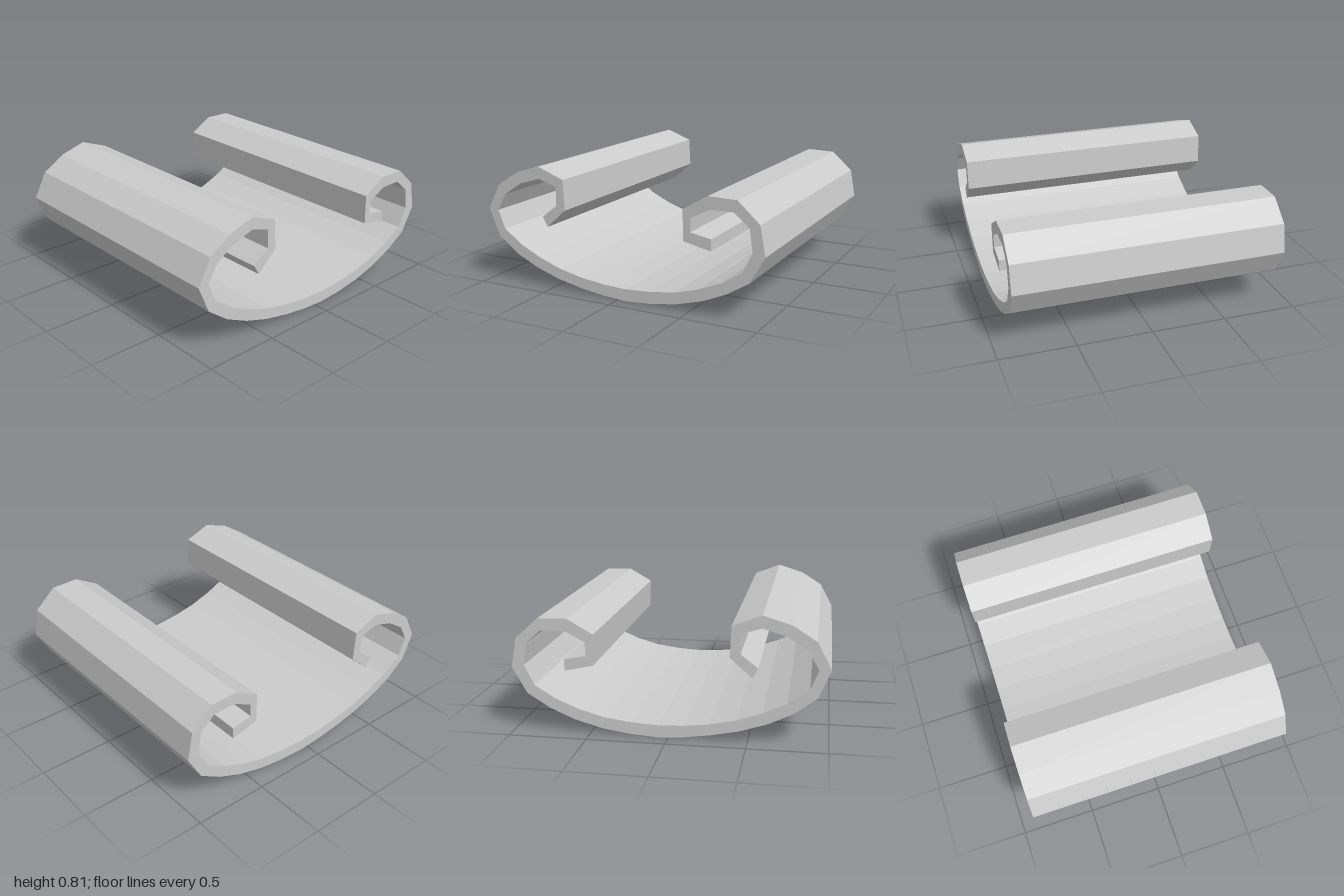
import * as THREE from 'three';

// Outer face of the scrolled sheet, from the left-hand curl's tip to the right-hand one
const OUTER = [
  [-0.525, 0.415], [-0.385, 0.54], [-0.395, 0.74], [-0.58, 0.81], [-0.76, 0.755], [-0.91, 0.66],
  [-1, 0.49], [-0.925, 0.31], [-0.78, 0.2], [-0.62, 0.125], [-0.45, 0.07], [-0.27, 0.033],
  [-0.1, 0.01], [0.06, 0], [0.24, 0.012], [0.42, 0.04], [0.6, 0.09], [0.76, 0.16],
  [0.905, 0.25], [1, 0.42], [0.965, 0.61], [0.82, 0.74], [0.63, 0.745], [0.465, 0.65],
  [0.47, 0.45], [0.655, 0.41],
];

// Inner face, running back the other way
const INNER = [
  [0.655, 0.485], [0.515, 0.51], [0.52, 0.6], [0.645, 0.665], [0.8, 0.665], [0.9, 0.58],
  [0.92, 0.435], [0.855, 0.305], [0.725, 0.225], [0.57, 0.16], [0.41, 0.115], [0.23, 0.09],
  [0.06, 0.08], [-0.1, 0.086], [-0.26, 0.105], [-0.43, 0.14], [-0.59, 0.195], [-0.74, 0.265],
  [-0.875, 0.36], [-0.925, 0.485], [-0.86, 0.6], [-0.73, 0.685], [-0.58, 0.73], [-0.45, 0.69],
  [-0.45, 0.565], [-0.56, 0.48],
];

const DEPTH = 1.79;

export function createModel() {
  const group = new THREE.Group();
  group.name = 'scrolledTray';

  // One folded sheet, extruded from front to back
  const profile = new THREE.Shape([...OUTER, ...INNER].map(([x, y]) => new THREE.Vector2(x, y)));
  const geometry = new THREE.ExtrudeGeometry(profile, { depth: DEPTH, bevelEnabled: false });
  geometry.translate(0, 0, -DEPTH / 2);

  const sheet = new THREE.Mesh(
    geometry,
    new THREE.MeshStandardMaterial({ color: 0xcccccc, flatShading: true }),
  );
  sheet.name = 'curledSheet';
  group.add(sheet);
  return group;
}
